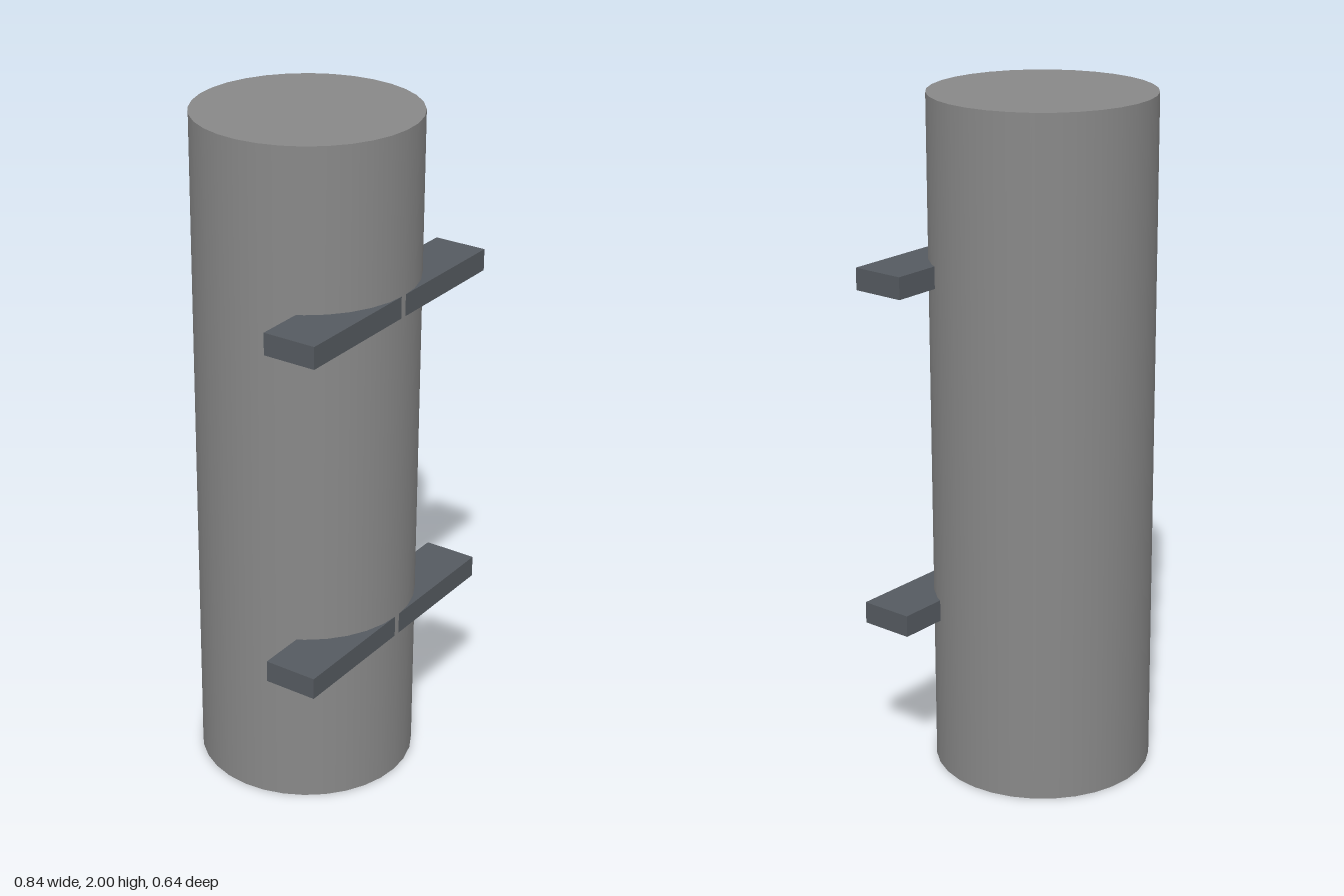
import * as THREE from 'three';

export function createModel() {
  const model = new THREE.Group();
  const radius = 0.32;
  const postMaterial = new THREE.MeshStandardMaterial({ color: 0x888888 });
  const barMaterial = new THREE.MeshStandardMaterial({ color: 0x555a60 });

  // Upright round post, smooth sides and flat caps
  const post = new THREE.Mesh(new THREE.CylinderGeometry(radius, radius, 2, 32), postMaterial);
  post.name = 'post';
  post.position.y = 1;
  model.add(post);

  // Two crossbars let into the front, just behind the post's foremost line
  const barGeometry = new THREE.BoxGeometry(0.84, 0.064, 0.16);
  for (const [name, y] of [['lowerCrossbar', 0.503], ['upperCrossbar', 1.503]]) {
    const bar = new THREE.Mesh(barGeometry, barMaterial);
    bar.name = name;
    bar.position.set(0, y, 0.239);
    model.add(bar);
  }
  return model;
}
